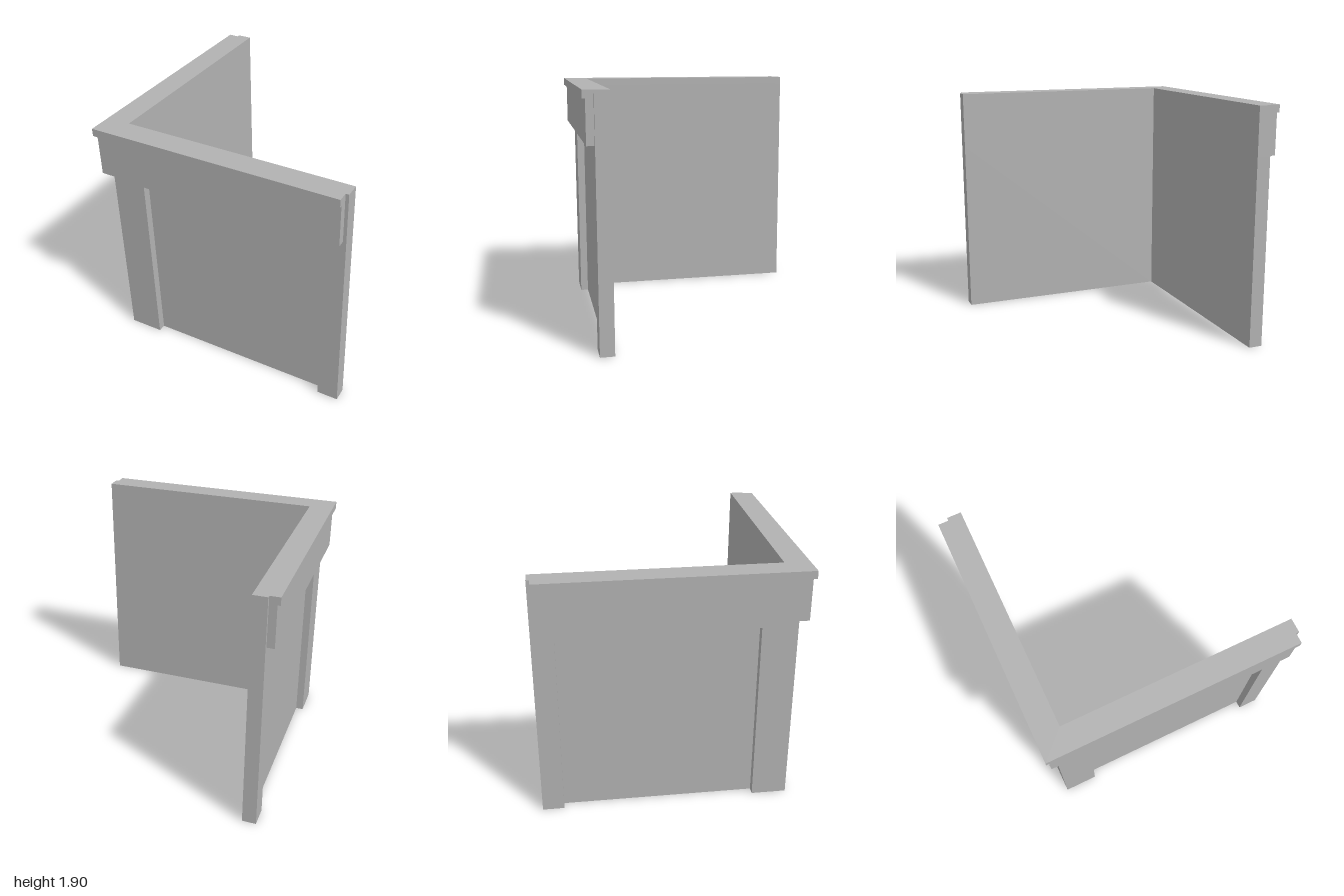
import * as THREE from 'three';

const INNER = 0.81;   // inner wall face
const FACE = 0.92;    // outer wall face
const RECESS = 0.86;  // sunken panel face
const TRIM_END = 0.975;

// Plan of an L-shaped layer: one arm's (x, z) points from outer to inner corner,
// completed by reflecting them across the corner diagonal.
function cornerLayer(name, arm, y0, y1, material) {
  const half = arm.map(([x, z]) => new THREE.Vector2(x, -z));
  const mirrored = half.slice(1, -1).reverse().map((p) => new THREE.Vector2(p.y, p.x));
  const shape = new THREE.Shape([...half, ...mirrored]);
  const geometry = new THREE.ExtrudeGeometry(shape, { depth: y1 - y0, bevelEnabled: false });
  geometry.rotateX(-Math.PI / 2);
  geometry.translate(0, y0, 0);
  const mesh = new THREE.Mesh(geometry, material);
  mesh.name = name;
  return mesh;
}

// Arm outline of a layer whose trim stands out to the given distance
const trimArm = (out) => [
  [-out, out], [TRIM_END, out], [TRIM_END, FACE], [1, FACE], [1, INNER], [-INNER, INNER],
];

export function createModel() {
  const group = new THREE.Group();
  group.name = 'cornerWall';
  const grey = new THREE.MeshStandardMaterial({ color: 0xb2b2b2 });
  grey.name = 'wallGrey';

  // Pillars with the sunken panels between them
  const panelArm = [
    [-FACE, FACE], [-0.65, FACE], [-0.65, RECESS], [0.835, RECESS], [0.835, FACE],
    [1, FACE], [1, INNER], [-INNER, INNER],
  ];
  // Plain strip over the panels
  const plainArm = [[-FACE, FACE], [1, FACE], [1, INNER], [-INNER, INNER]];

  group.add(
    cornerLayer('panelledWalls', panelArm, 0, 1.455, grey),
    cornerLayer('lintel', plainArm, 1.455, 1.52, grey),
    cornerLayer('fasciaBand', trimArm(0.978), 1.52, 1.845, grey),
    cornerLayer('topCap', trimArm(1), 1.845, 1.905, grey),
  );
  return group;
}
